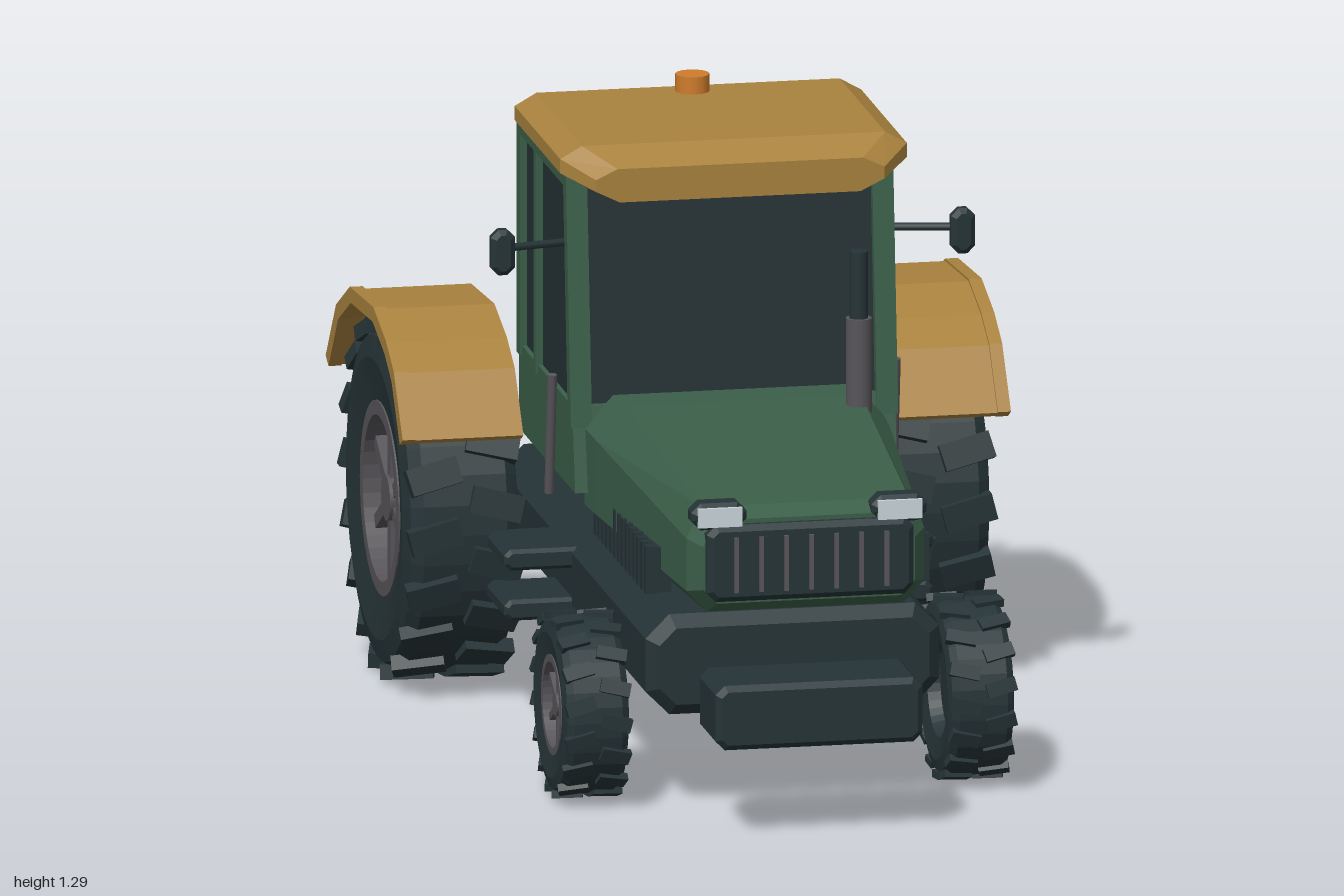
import * as THREE from 'three';
import { mergeGeometries } from 'three/addons/utils/BufferGeometryUtils.js';

const mat = (name, color) => Object.assign(new THREE.MeshStandardMaterial({ color }), { name });

export function createModel() {
  const green = mat('green paint', 0x3b5f49), yellow = mat('ochre paint', 0xa9823e);
  const dark = mat('charcoal', 0x263437), glass = mat('dark glass', 0x253033);
  const steel = mat('steel', 0x58555a), orange = mat('beacon orange', 0xd07c2c);
  const red = mat('tail red', 0xb3262f), lamp = mat('lamp lens', 0xcbd6dc);
  const model = new THREE.Group();
  model.name = 'tractor';

  // ---- helpers ----
  const flat = (g) => {
    const f = g.index ? g.toNonIndexed() : g;
    f.computeVertexNormals();
    return f;
  };
  const add = (name, geo, material, x = 0, y = 0, z = 0, parent = model) => {
    const m = new THREE.Mesh(geo, material);
    m.name = name;
    m.position.set(x, y, z);
    parent.add(m);
    return m;
  };
  const box = (w, h, d) => new THREE.BoxGeometry(w, h, d);
  // Box with every edge cut off
  const bevelBox = (w, h, d, b, c = b) => {
    const X = w / 2 - b, Y = h / 2 - b;
    const s = new THREE.Shape([[-X + c, -Y], [X - c, -Y], [X, -Y + c], [X, Y - c], [X - c, Y], [-X + c, Y], [-X, Y - c], [-X, -Y + c]]
      .map((p) => new THREE.Vector2(...p)));
    const g = new THREE.ExtrudeGeometry(s, { depth: d - 2 * b, bevelEnabled: true, bevelSize: b, bevelThickness: b, bevelSegments: 1 });
    return flat(g.translate(0, 0, -d / 2 + b));
  };
  // Side profile given as [z, y], swept from x0 to x1
  const sweepX = (pts, x0, x1) => flat(new THREE.ExtrudeGeometry(
    new THREE.Shape(pts.map((p) => new THREE.Vector2(...p))), { depth: x1 - x0, bevelEnabled: false })
    .rotateY(-Math.PI / 2).translate(x1, 0, 0));
  // Bar between two points
  const bar = (name, a, b, geo, material) => {
    const A = new THREE.Vector3(...a), B = new THREE.Vector3(...b), dir = B.clone().sub(A);
    const m = add(name, geo(dir.length()), material);
    m.position.copy(A).add(B).multiplyScalar(0.5);
    m.quaternion.setFromUnitVectors(new THREE.Vector3(0, 1, 0), dir.normalize());
    return m;
  };
  const rod = (r, n = 10) => (len) => new THREE.CylinderGeometry(r, r, len, n);
  // Skin over mirrored half sections, listed front to rear: { z, half: [[x, y], ...] } bottom to top
  const loft = (stations) => {
    const rings = stations.map(({ z, half }) => [
      ...half.map(([x, y]) => [x, y, z]), ...half.slice().reverse().map(([x, y]) => [-x, y, z])]);
    const v = [], n = rings[0].length, last = rings[rings.length - 1];
    for (let i = 0; i < rings.length - 1; i++) for (let j = 0; j < n; j++) {
      const a = rings[i], b = rings[i + 1], k = (j + 1) % n;
      v.push(...a[j], ...b[j], ...b[k], ...a[j], ...b[k], ...a[k]);
    }
    for (let j = 1; j < n - 1; j++) {
      v.push(...rings[0][0], ...rings[0][j], ...rings[0][j + 1]);
      v.push(...last[0], ...last[j + 1], ...last[j]);
    }
    const g = new THREE.BufferGeometry();
    g.setAttribute('position', new THREE.Float32BufferAttribute(v, 3));
    return flat(g);
  };

  // ---- chassis, front weight, hitch ----
  add('chassis', bevelBox(0.61, 0.21, 1.55, 0.025, 0.035), dark, 0, 0.315, -0.045);
  add('frontWeight', bevelBox(0.43, 0.135, 0.185, 0.012, 0.012), dark, 0, 0.265, 0.902);

  // ---- hood ----
  const hoodSection = (z, wb, yb, w, yl, yh, wt, yt) => ({ z, half: [[wb, yb], [w, yl], [w, yh], [wt, yt]] });
  add('hood', loft([
    hoodSection(0.88, 0.19, 0.48, 0.22, 0.51, 0.6, 0.19, 0.655),
    hoodSection(0.84, 0.205, 0.455, 0.247, 0.5, 0.61, 0.215, 0.675),
    hoodSection(0.2, 0.25, 0.455, 0.305, 0.51, 0.665, 0.245, 0.735),
    hoodSection(0.1, 0.25, 0.455, 0.31, 0.51, 0.67, 0.25, 0.735),
  ]), green);
  add('grille', bevelBox(0.43, 0.16, 0.06, 0.012), dark, 0, 0.566, 0.872);
  for (let i = -3; i <= 3; i++) add('grilleBar', box(0.009, 0.115, 0.012), steel, i * 0.052, 0.565, 0.904);

  // ---- cab ----
  add('cabBase', sweepX([[0.13, 0.54], [0.1, 0.715], [-0.45, 0.72], [-0.45, 0.57], [-0.42, 0.54]], -0.335, 0.335), green);
  add('cabGlass', sweepX([[0.087, 0.7], [0.042, 1.19], [-0.437, 1.19], [-0.437, 0.7]], -0.325, 0.325), glass);
  const roofSection = (z, w, y0, y1) => ({
    z, half: [[w - 0.05, y0], [w, y0 + (y1 - y0) * 0.35], [w, y0 + (y1 - y0) * 0.7], [w - 0.045, y1]] });
  add('roof', loft([
    roofSection(0.17, 0.3, 1.155, 1.225), roofSection(0.1, 0.36, 1.175, 1.26),
    roofSection(-0.37, 0.36, 1.175, 1.26), roofSection(-0.515, 0.3, 1.15, 1.205),
  ]), yellow);
  add('beacon', new THREE.CylinderGeometry(0.035, 0.035, 0.04, 14), orange, 0, 1.276, -0.325);
  add('frontTopRail', box(0.66, 0.03, 0.03), green, 0, 1.175, 0.037);
  add('rearTopRail', box(0.66, 0.03, 0.03), green, 0, 1.165, -0.437);

  // ---- exhaust, on one side only ----
  add('exhaustBase', new THREE.CylinderGeometry(0.027, 0.027, 0.23, 12), steel, 0.23, 0.795, 0.25);
  add('exhaustPipe', new THREE.CylinderGeometry(0.019, 0.019, 0.15, 12), dark, 0.23, 0.975, 0.25);

  // ---- wheel: axle along x, outer face toward +x ----
  const wheel = (name, R, W, lugCount) => {
    const g = new THREE.Group();
    g.name = name;
    const inner = new THREE.Group();
    inner.rotation.z = -Math.PI / 2;
    g.add(inner);
    const profile = [[0, -0.25], [0.5, -0.25], [0.54, -0.44], [0.78, -0.5], [0.9, -0.46], [0.955, -0.36],
      [0.955, 0.36], [0.9, 0.46], [0.78, 0.5], [0.54, 0.44], [0.5, 0.25], [0, 0.25]]
      .map(([r, y]) => new THREE.Vector2(r * R, y * W));
    add('tyre', flat(new THREE.LatheGeometry(profile, 36)), dark, 0, 0, 0, inner);
    const lugs = [];
    for (let i = 0; i < lugCount * 2; i++) {
      const s = i % 2 ? 1 : -1;
      lugs.push(box(0.085 * R, 0.45 * W, 0.15 * R).rotateX(s * 0.25)
        .translate(0.953 * R, s * 0.265 * W, 0).rotateY((i * Math.PI) / lugCount));
    }
    add('treadLugs', mergeGeometries(lugs), dark, 0, 0, 0, inner);
    const ring = [[0.46, 0.25], [0.54, 0.25], [0.54, 0.455], [0.46, 0.455], [0.46, 0.25]]
      .map(([r, y]) => new THREE.Vector2(r * R, y * W));
    add('rimRing', flat(new THREE.LatheGeometry(ring, 36)), steel, 0, 0, 0, inner);
    add('hub', new THREE.CylinderGeometry(0.13 * R, 0.13 * R, 0.16 * W, 12), steel, 0, 0.32 * W, 0, inner);
    const spokes = [];
    for (let i = 0; i < 6; i++)
      spokes.push(box(0.4 * R, 0.1 * W, 0.075 * R).translate(0.28 * R, 0.32 * W, 0).rotateY((i * Math.PI) / 3));
    add('spokes', mergeGeometries(spokes), steel, 0, 0, 0, inner);
    return g;
  };

  // ---- fender outline as [z, y], scaled about the rear axle ----
  const arch = [[-0.18, 0.59], [-0.27, 0.71], [-0.35, 0.755], [-0.48, 0.795], [-0.72, 0.78], [-0.86, 0.71], [-0.965, 0.58]];
  const band = (outer, inner) => [
    ...arch.map(([z, y]) => [-0.58 + (z + 0.58) * outer, 0.375 + (y - 0.375) * outer]),
    ...arch.slice().reverse().map(([z, y]) => [-0.58 + (z + 0.58) * inner, 0.375 + (y - 0.375) * inner])];
  const sideSpan = (s, a, b) => (s > 0 ? [a, b] : [-b, -a]);

  // ---- paired parts ----
  for (const s of [-1, 1]) {
    const rear = wheel('rearWheel', 0.372, 0.24, 18);
    rear.position.set(s * 0.49, 0.374, -0.58);
    const front = wheel('frontWheel', 0.192, 0.138, 16);
    front.position.set(s * 0.4, 0.195, 0.515);
    for (const w of [rear, front]) {
      if (s < 0) w.rotation.y = Math.PI;
      model.add(w);
    }

    add('fender', sweepX(band(1, 0.945), ...sideSpan(s, 0.38, 0.61)), yellow);
    add('fenderLip', sweepX(band(1.012, 0.935), ...sideSpan(s, 0.605, 0.632)), yellow);
    add('tailLight', bevelBox(0.07, 0.045, 0.03, 0.008), red, s * 0.545, 0.655, -0.95);

    // Cab frame
    const post = (w, d) => (len) => box(w, len, d);
    bar('frontPost', [s * 0.318, 0.67, 0.095], [s * 0.318, 1.19, 0.043], post(0.044, 0.032), green);
    bar('middlePost', [s * 0.325, 0.7, -0.265], [s * 0.325, 1.19, -0.265], post(0.03, 0.024), green);
    bar('rearPost', [s * 0.318, 0.7, -0.434], [s * 0.318, 1.19, -0.434], post(0.044, 0.034), green);
    add('sideTopRail', box(0.03, 0.03, 0.48), green, s * 0.325, 1.178, -0.2);

    // Mirror, grab handle and steps
    bar('mirrorArm', [s * 0.33, 1.045, 0.035], [s * 0.475, 1.05, 0.085], rod(0.008, 8), dark);
    add('mirror', bevelBox(0.05, 0.095, 0.036, 0.01), dark, s * 0.478, 1.043, 0.086);
    bar('grabHandle', [s * 0.357, 0.505, -0.03], [s * 0.357, 0.76, 0.003], rod(0.01, 8), steel);
    for (const y of [0.255, 0.36]) add('step', bevelBox(0.17, 0.044, 0.19, 0.008), dark, s * 0.36, y, -0.145);

    // Headlight and side vent
    add('headlight', bevelBox(0.115, 0.056, 0.06, 0.012), dark, s * 0.187, 0.663, 0.86);
    add('headlightLens', box(0.092, 0.04, 0.008), lamp, s * 0.187, 0.663, 0.891);
    add('sideVent', box(0.04, 0.095, 0.56), dark, s * 0.262, 0.502, 0.38);
    for (let i = 0; i < 14; i++) add('ventBar', box(0.022, 0.1, 0.018), dark, s * 0.284, 0.502, 0.65 - i * 0.04);

    // Hitch arm
    bar('hitchArm', [s * 0.19, 0.34, -0.76], [s * 0.19, 0.23, -0.98], rod(0.028, 10), dark);
  }
  return model;
}
